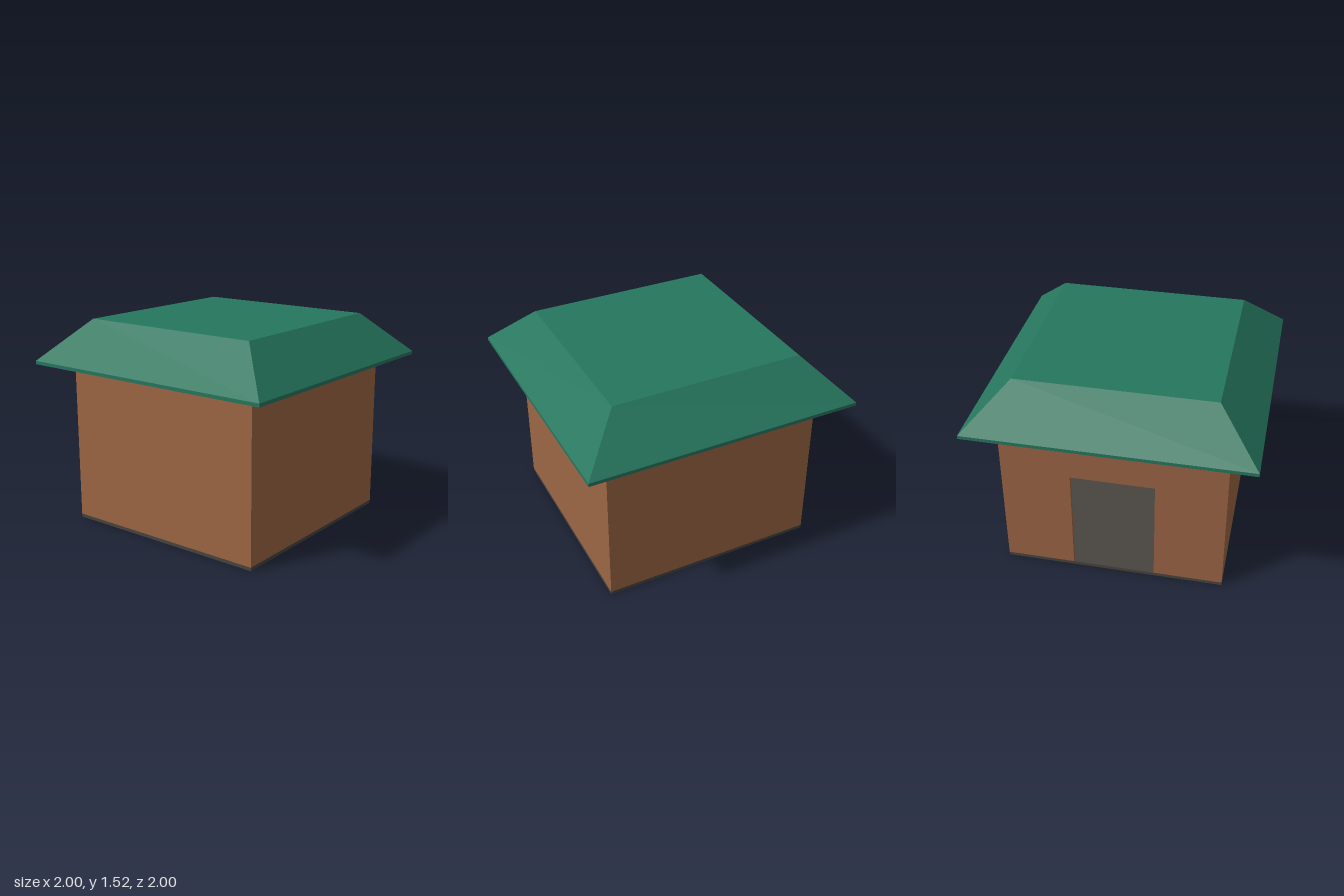
import * as THREE from 'three';
import { ConvexGeometry } from 'three/addons/geometries/ConvexGeometry.js';

const material = (name, color) => {
  const m = new THREE.MeshStandardMaterial({ color, flatShading: true });
  m.name = name;
  return m;
};

const shapeFrom = (points) =>
  new THREE.Shape(points.map(([x, y]) => new THREE.Vector2(x, y)));

export function createModel() {
  const group = new THREE.Group();
  group.name = 'hut';

  const wallMat = material('brown wall', 0x9c6644);
  const roofMat = material('green roof', 0x26765e);
  const floorMat = material('dark floor', 0x48443f);

  const H = 0.8;        // half width of the walls
  const T = 0.025;      // thickness of floor, walls and eaves
  const EAVES = 1.2;    // top of the walls

  const add = (name, geometry, mat) => {
    const mesh = new THREE.Mesh(geometry, mat);
    mesh.name = name;
    group.add(mesh);
    return mesh;
  };

  // Floor slab
  add('floor', new THREE.BoxGeometry(2 * H, T, 2 * H), floorMat).position.y = T / 2;

  // Front and side walls: one U-shaped plan extruded upwards
  const I = H - T;
  const plan = shapeFrom([[-H, -H], [H, -H], [H, I], [I, I], [I, -I], [-I, -I], [-I, I], [-H, I]]);
  const walls = new THREE.ExtrudeGeometry(plan, { depth: EAVES - T, bevelEnabled: false });
  walls.rotateX(-Math.PI / 2);
  add('frontAndSideWalls', walls, wallMat).position.y = T;

  // Back wall with a doorway
  const D = 0.3, doorTop = 0.825;
  const outline = shapeFrom([[-H, T], [-D, T], [-D, doorTop], [D, doorTop], [D, T], [H, T], [H, EAVES], [-H, EAVES]]);
  const back = new THREE.ExtrudeGeometry(outline, { depth: T, bevelEnabled: false });
  add('backWall', back, wallMat).position.z = -H;

  // Solid flat-topped hip roof with a thin eaves edge
  const points = [];
  for (const [half, y] of [[1, EAVES], [1, EAVES + T], [0.7, 1.525]])
    for (const sx of [-1, 1])
      for (const sz of [-1, 1])
        points.push(new THREE.Vector3(sx * half, y, sz * half));
  add('roof', new ConvexGeometry(points), roofMat);

  return group;
}
